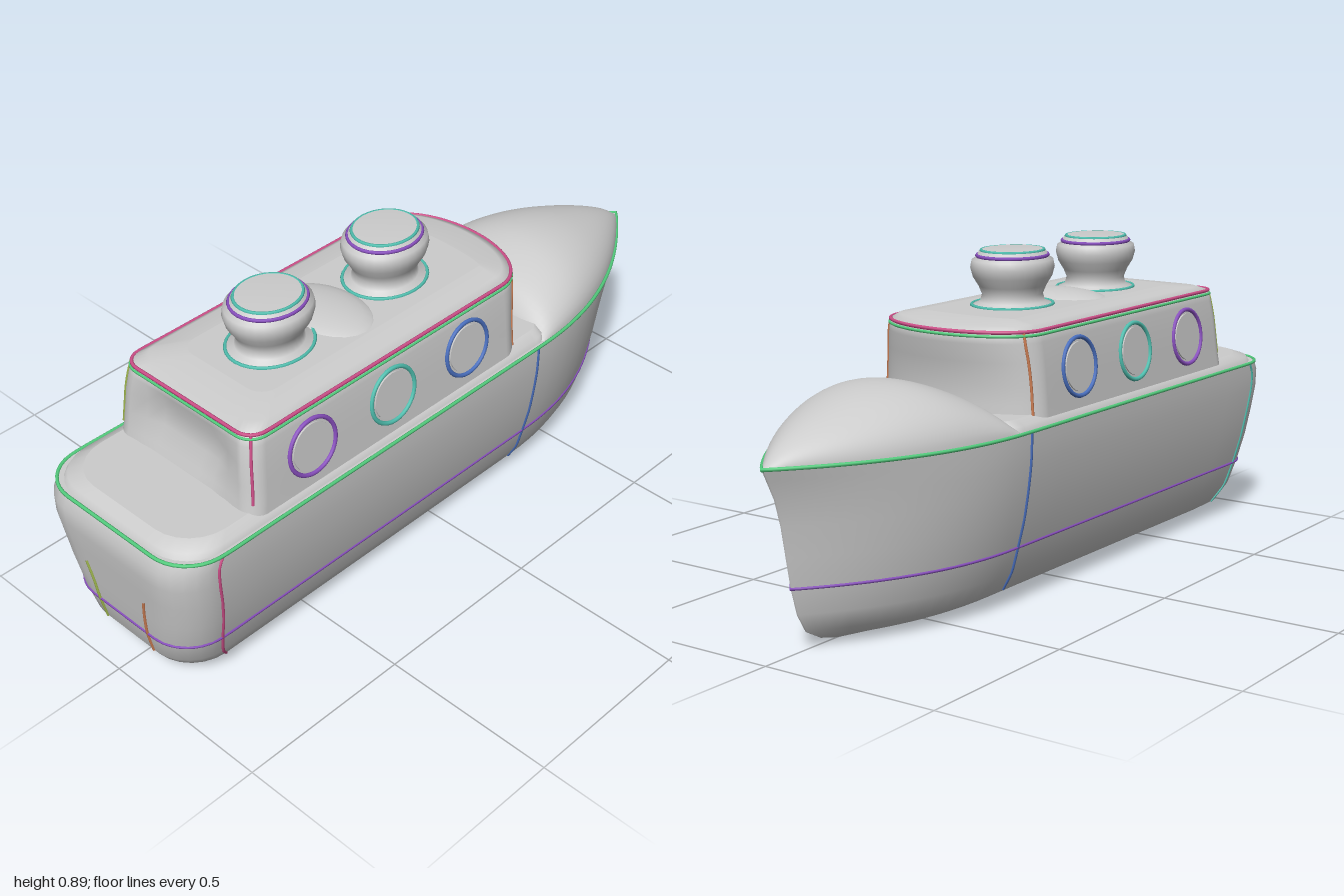
import * as THREE from 'three';

const V = (x, y, z) => new THREE.Vector3(x, y, z);
const grey = new THREE.MeshStandardMaterial({ color: 0xcccccc });
const greyDouble = new THREE.MeshStandardMaterial({ color: 0xcccccc, side: THREE.DoubleSide });
const paint = (color) => new THREE.MeshStandardMaterial({ color });
const green = paint(0x55d080), purple = paint(0x8a50c0), blue = paint(0x4a70c0);
const teal = paint(0x50c0b0), pink = paint(0xd0508a), orange = paint(0xd08055), olive = paint(0xa0b850);

const BOW = 16, SIDE = 8, CORNER = 6, END = 4;

// Closed plan outline at height y: curved nose at -z, straight sides, rounded stern corners.
function outline([y, w, bow, stern, recess = 0], { z0, p, q, r }) {
  const half = [];
  const rad = Math.min(r, w * 0.7);
  for (let i = 0; i <= BOW; i++) {
    const t = Math.cos((i / BOW) * Math.PI / 2);
    half.push(V(w * Math.pow(Math.max(0, 1 - t ** p), q), y, z0 - (z0 - bow) * t));
  }
  for (let i = 1; i <= SIDE; i++) half.push(V(w, y, THREE.MathUtils.lerp(z0, stern - rad, i / SIDE)));
  for (let i = 1; i <= CORNER; i++) {
    const a = (i / CORNER) * Math.PI / 2;
    half.push(V(w - rad + rad * Math.cos(a), y, stern - rad + rad * Math.sin(a)));
  }
  for (let i = 1; i <= END; i++) half.push(V((w - rad) * (1 - i / END), y, stern - recess * Math.min(1, i / 2)));
  const mirrored = half.slice(1, -1).reverse().map((v) => V(-v.x, v.y, v.z));
  return half.concat(mirrored);
}

// Skin stacked outlines from bottom to top and cap both ends with crisp edges.
function loft(rings) {
  const n = rings[0].length, pos = [], index = [];
  const add = (v) => pos.push(v.x, v.y, v.z) / 3 - 1;
  rings.forEach((ring) => ring.forEach(add));
  for (let i = 0; i < rings.length - 1; i++) {
    for (let j = 0; j < n; j++) {
      const a = i * n + j, b = i * n + (j + 1) % n;
      index.push(a, a + n, b, b, a + n, b + n);
    }
  }
  for (const [ring, top] of [[rings[0], false], [rings[rings.length - 1], true]]) {
    const c = add(V(0, ring[0].y, (ring[0].z + ring[n / 2].z) / 2));
    ring.forEach(add);
    for (let j = 0; j < n; j++) {
      const a = c + 1 + j, b = c + 1 + (j + 1) % n;
      if (top) index.push(c, b, a); else index.push(c, a, b);
    }
  }
  const g = new THREE.BufferGeometry();
  g.setAttribute('position', new THREE.Float32BufferAttribute(pos, 3));
  g.setIndex(index);
  g.computeVertexNormals();
  return g;
}

export function createModel() {
  const model = new THREE.Group();
  const add = (name, geometry, material = grey, parent = model) => {
    const m = new THREE.Mesh(geometry, material);
    m.name = name;
    parent.add(m);
    return m;
  };
  const line = (name, points, material, closed = false, radius = 0.005) => {
    const curve = new THREE.CatmullRomCurve3(points, closed, 'centripetal');
    return add(name, new THREE.TubeGeometry(curve, points.length * 3, radius, 6, closed), material);
  };

  // Hull: [height, half width, bow z, stern z]
  const hullShape = { z0: -0.3, p: 2.2, q: 1, r: 0.12 };
  const hullRings = [
    [0.005, 0.08, -0.74, 0.82], [0.02, 0.14, -0.80, 0.88], [0.05, 0.19, -0.855, 0.92],
    [0.10, 0.217, -0.885, 0.95], [0.17, 0.237, -0.905, 0.965], [0.25, 0.257, -0.92, 0.975],
    [0.33, 0.27, -0.935, 0.985], [0.40, 0.278, -0.955, 0.995], [0.45, 0.28, -0.98, 0.995],
    [0.48, 0.28, -0.995, 0.98],
  ].map((s) => outline(s, hullShape));
  add('hull', loft(hullRings));

  // Slightly raised aft deck inside the gunwale
  add('aftDeck', loft([[0.475, 0.27, -0.4, 0.97], [0.495, 0.262, -0.4, 0.96], [0.508, 0.235, -0.4, 0.93]]
    .map((s) => outline(s, { ...hullShape, p: 4 }))));

  // Domed foredeck, bent from a plane along a ridge line
  const ridge = new THREE.SplineCurve([
    [-0.325, 0], [-0.345, 0.05], [-0.40, 0.105], [-0.52, 0.145], [-0.65, 0.14],
    [-0.8, 0.10], [-0.92, 0.05], [-0.99, 0],
  ].map(([z, h]) => new THREE.Vector2(z, h)));
  const dome = new THREE.PlaneGeometry(2, 1, 28, 32);
  const dp = dome.attributes.position;
  for (let i = 0; i < dp.count; i++) {
    const a = dp.getX(i) * Math.PI / 2;
    const r = ridge.getPoint(THREE.MathUtils.clamp(dp.getY(i) + 0.5, 0, 1));
    const t = THREE.MathUtils.clamp((-0.3 - r.x) / 0.695, 0, 1);
    dp.setXYZ(i, 0.275 * (1 - t ** 2.2) * Math.sin(a), 0.476 + r.y * Math.cos(a), r.x);
  }
  dome.computeVertexNormals();
  add('foredeck', dome, greyDouble);

  // Cabin with bowed front, hollowed back wall and gently crowned roof
  const cabinShape = { z0: -0.19, p: 2, q: 0.5, r: 0.05 };
  const cabinRings = [
    [0.47, 0.262, -0.31, 0.75], [0.53, 0.256, -0.305, 0.74, 0.01], [0.58, 0.252, -0.305, 0.735, 0.03],
    [0.64, 0.246, -0.315, 0.73, 0.03], [0.69, 0.239, -0.33, 0.722, 0.005], [0.72, 0.233, -0.33, 0.715],
    [0.733, 0.21, -0.30, 0.68], [0.742, 0.15, -0.21, 0.60],
  ].map((s) => outline(s, cabinShape));
  add('cabin', loft(cabinRings));
  const roofCrown = add('roofCrown', new THREE.SphereGeometry(1, 24, 12));
  roofCrown.scale.set(0.16, 0.035, 0.11);
  roofCrown.position.set(0, 0.727, 0.235);

  // Funnels
  const profile = [[0.13, 0.725], [0.118, 0.742], [0.092, 0.752], [0.086, 0.772], [0.096, 0.795],
    [0.112, 0.82], [0.119, 0.845], [0.115, 0.865], [0.102, 0.872], [0.095, 0.887], [0.085, 0.893], [0, 0.893]]
    .map(([x, y]) => new THREE.Vector2(x, y));
  for (const z of [0.43, 0.015]) {
    const funnel = new THREE.Group();
    funnel.name = 'funnel';
    funnel.position.z = z;
    funnel.scale.set(0.92, 1, 1.04);
    model.add(funnel);
    add('funnelBody', new THREE.LatheGeometry(profile, 32), greyDouble, funnel);
    for (const [r, y, mat] of [[0.088, 0.889, teal], [0.1, 0.876, purple], [0.115, 0.743, teal]]) {
      const ring = add('funnelRing', new THREE.TorusGeometry(r, 0.005, 6, 32), mat, funnel);
      ring.rotation.x = Math.PI / 2;
      ring.position.y = y;
    }
  }

  // Portholes on both sides, leaning with the cabin wall
  for (const side of [1, -1]) {
    [[0.53, purple], [0.245, teal], [-0.035, blue]].forEach(([z, mat]) => {
      const porthole = new THREE.Group();
      porthole.name = 'porthole';
      porthole.position.set(side * 0.25, 0.605, z);
      porthole.rotation.set(0, side * Math.PI / 2, side * 0.1, 'ZYX');
      model.add(porthole);
      add('portholeRim', new THREE.TorusGeometry(0.078, 0.006, 8, 32), mat, porthole);
      const pane = add('portholePane', new THREE.CylinderGeometry(0.066, 0.066, 0.006, 28), grey, porthole);
      pane.rotation.x = Math.PI / 2;
    });
  }

  // Trim lines around gunwale, waterline and roof
  line('gunwaleTrim', hullRings[9], green, true);
  line('waterlineTrim', hullRings[4], purple, true, 0.004);
  line('roofTrim', cabinRings[5], pink, true);
  line('roofLowerTrim', outline([0.71, 0.236, -0.331, 0.718], cabinShape), green, true, 0.004);

  // Upright seams, mirrored on both sides
  const flip = (pts, s) => pts.map((v) => V(s * v.x, v.y, v.z));
  for (const s of [1, -1]) {
    line('midSeam', flip(hullRings.slice(2).map((r) => r[BOW]), s), blue, false, 0.004);
    line('sternSeam', flip(hullRings.slice(2).map((r) => r[BOW + SIDE]), s), s > 0 ? pink : teal, false, 0.004);
    line('transomSeam', flip([V(0.09, 0.1, 0.95), V(0.092, 0.17, 0.966), V(0.1, 0.25, 0.976), V(0.11, 0.3, 0.982)], s),
      s > 0 ? orange : olive, false, 0.004);
    line('cabinFrontSeam', flip(cabinRings.slice(0, 6).map((r) => r[BOW - 4]), s), orange, false, 0.004);
    line('cabinBackSeam', flip(cabinRings.slice(1, 6).map((r) => r[BOW + SIDE + 3]), s), s > 0 ? pink : olive, false, 0.004);
  }
  return model;
}
